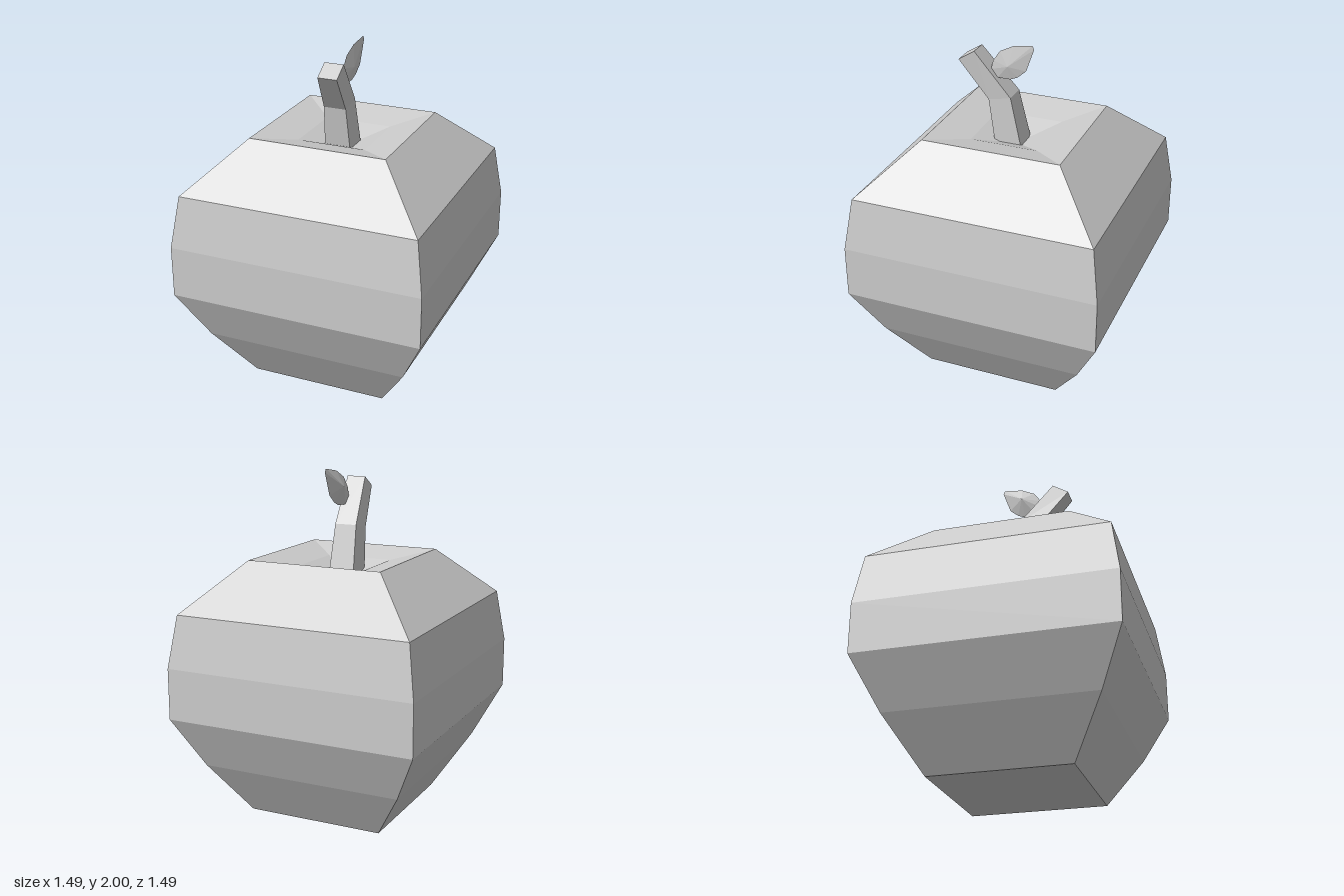
import * as THREE from 'three';

const gray = new THREE.MeshStandardMaterial({ color: 0xcccccc, flatShading: true });
gray.name = 'light gray';

function meshFrom(triangles, name) {
  const geometry = new THREE.BufferGeometry();
  geometry.setAttribute('position', new THREE.Float32BufferAttribute(triangles.flat(), 3));
  geometry.computeVertexNormals();
  const mesh = new THREE.Mesh(geometry, gray);
  mesh.name = name;
  return mesh;
}

// Square fruit: a four-sided lathe, with a hollow at the top and at the base
function createFruit() {
  const profile = [
    [0, 0.05], [0.2, 0.03], [0.407, 0], [0.6, 0.31], [0.745, 0.61], [0.745, 0.91],
    [0.7, 1.215], [0.405, 1.5], [0.2, 1.45], [0, 1.37],
  ].map(([half, y]) => new THREE.Vector2(half * Math.SQRT2, y));
  const geometry = new THREE.LatheGeometry(profile, 4, Math.PI / 4).toNonIndexed();
  geometry.computeVertexNormals();
  const mesh = new THREE.Mesh(geometry, gray);
  mesh.name = 'fruit';
  return mesh;
}

// Bent square stem: each section is [left x, right x, front z, front y, back z, back y]
function createStem() {
  const rings = [
    [-0.08, 0.077, 0.1, 1.36, -0.06, 1.36],
    [-0.066, 0.066, 0.145, 1.647, 0.013, 1.673],
    [-0.027, 0.086, 0.315, 1.87, 0.22, 1.93],
  ].map(([l, r, fz, fy, bz, by]) => [[l, fy, fz], [r, fy, fz], [r, by, bz], [l, by, bz]]);
  const tris = [];
  const quad = (a, b, c, d) => tris.push(...a, ...b, ...c, ...a, ...c, ...d);
  for (let i = 0; i < rings.length - 1; i++) {
    for (let j = 0; j < 4; j++) {
      const k = (j + 1) % 4;
      quad(rings[i][j], rings[i][k], rings[i + 1][k], rings[i + 1][j]);
    }
  }
  quad(...rings[2]);
  quad(...[...rings[0]].reverse());
  return meshFrom(tris, 'stem');
}

// Leaf: a pointed outline in z and y, swelling to a ridge on both sides
function createLeaf() {
  const outline = [
    [0.14, 1.82], [0.125, 1.875], [0.082, 1.937], [0, 1.98], [-0.115, 2], [-0.125, 1.98],
    [-0.077, 1.846], [-0.025, 1.8], [0.02, 1.78], [0.1, 1.777],
  ].map(([z, y]) => [0.052 - 0.09 * z, y, z]);
  const leftRidge = [0.07, 1.86, 0.03], rightRidge = [0.008, 1.89, 0.01];
  const tris = [];
  outline.forEach((p, i) => {
    const q = outline[(i + 1) % outline.length];
    tris.push(...leftRidge, ...q, ...p, ...rightRidge, ...p, ...q);
  });
  return meshFrom(tris, 'leaf');
}

export function createModel() {
  const group = new THREE.Group();
  group.name = 'squareApple';
  group.add(createFruit(), createStem(), createLeaf());
  return group;
}
